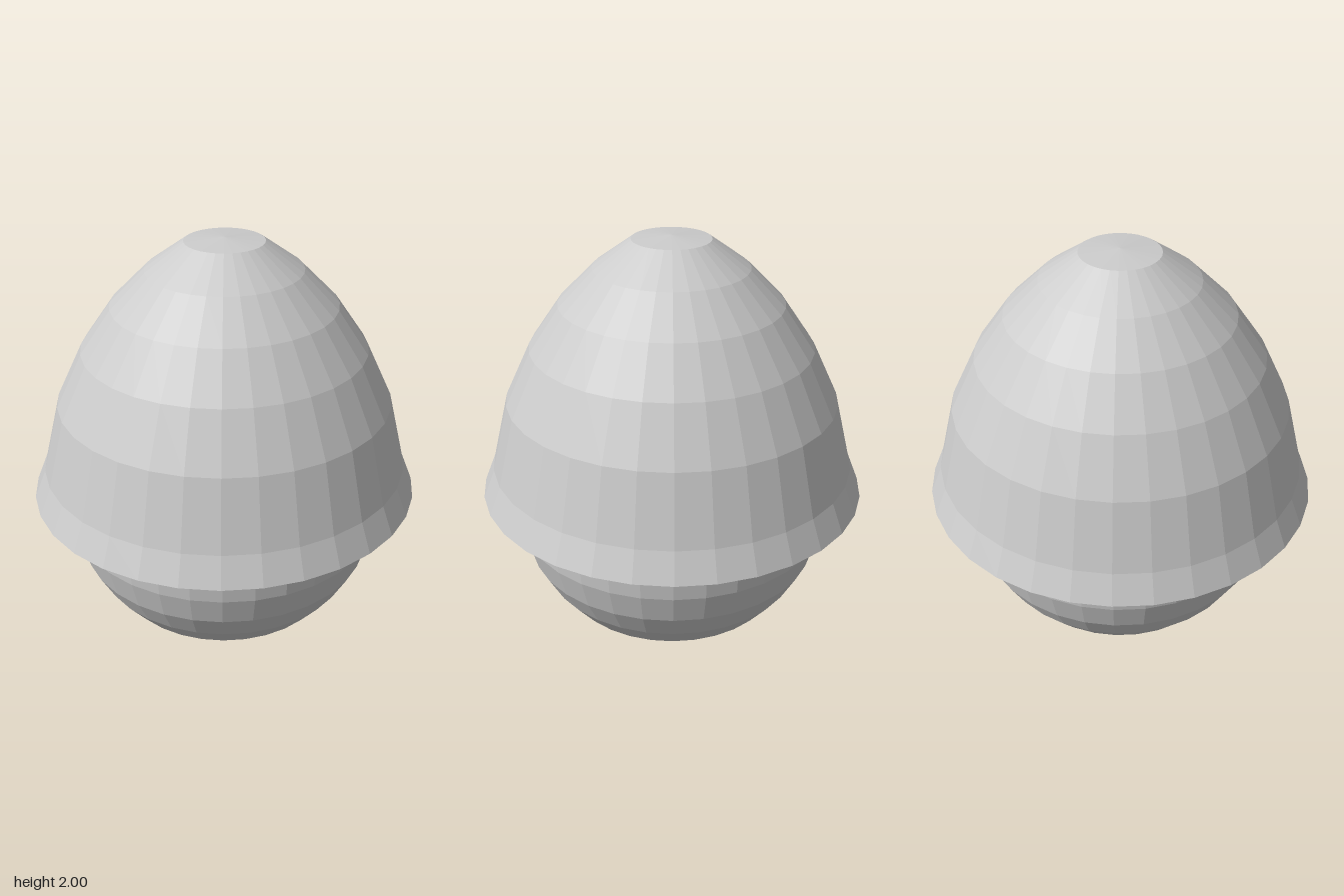
import * as THREE from 'three';

const SEGMENTS = 32;

// Faceted solid of revolution from [radius, height] pairs, listed bottom to top
function turned(name, profile, depth) {
  const points = profile.map(([r, y]) => new THREE.Vector2(r, y));
  // start a quarter turn round so a vertex lies on each axis
  const geometry = new THREE.LatheGeometry(points, SEGMENTS, Math.PI / 2);
  geometry.scale(1, 1, depth);
  const material = new THREE.MeshStandardMaterial({
    color: 0xcccccc, flatShading: true, side: THREE.DoubleSide,
  });
  const mesh = new THREE.Mesh(geometry, material);
  mesh.name = name;
  return mesh;
}

export function createModel() {
  const group = new THREE.Group();
  group.name = 'acornShape';

  // Rounded bowl below the brim
  group.add(turned('lowerBowl', [
    [0, 0], [0.145, 0.015], [0.28, 0.06], [0.41, 0.13], [0.525, 0.22],
    [0.62, 0.335], [0.69, 0.46], [0.73, 0.6], [0.742, 0.75],
  ], 0.995));

  // Tall domed cap with a flared brim; its underside slopes in to the bowl
  group.add(turned('domedCap', [
    [0.74, 0.75], [0.91, 0.795], [0.855, 0.93], [0.775, 1.25], [0.655, 1.5],
    [0.515, 1.7], [0.355, 1.86], [0.18, 1.985], [0, 2],
  ], 0.985));

  return group;
}
